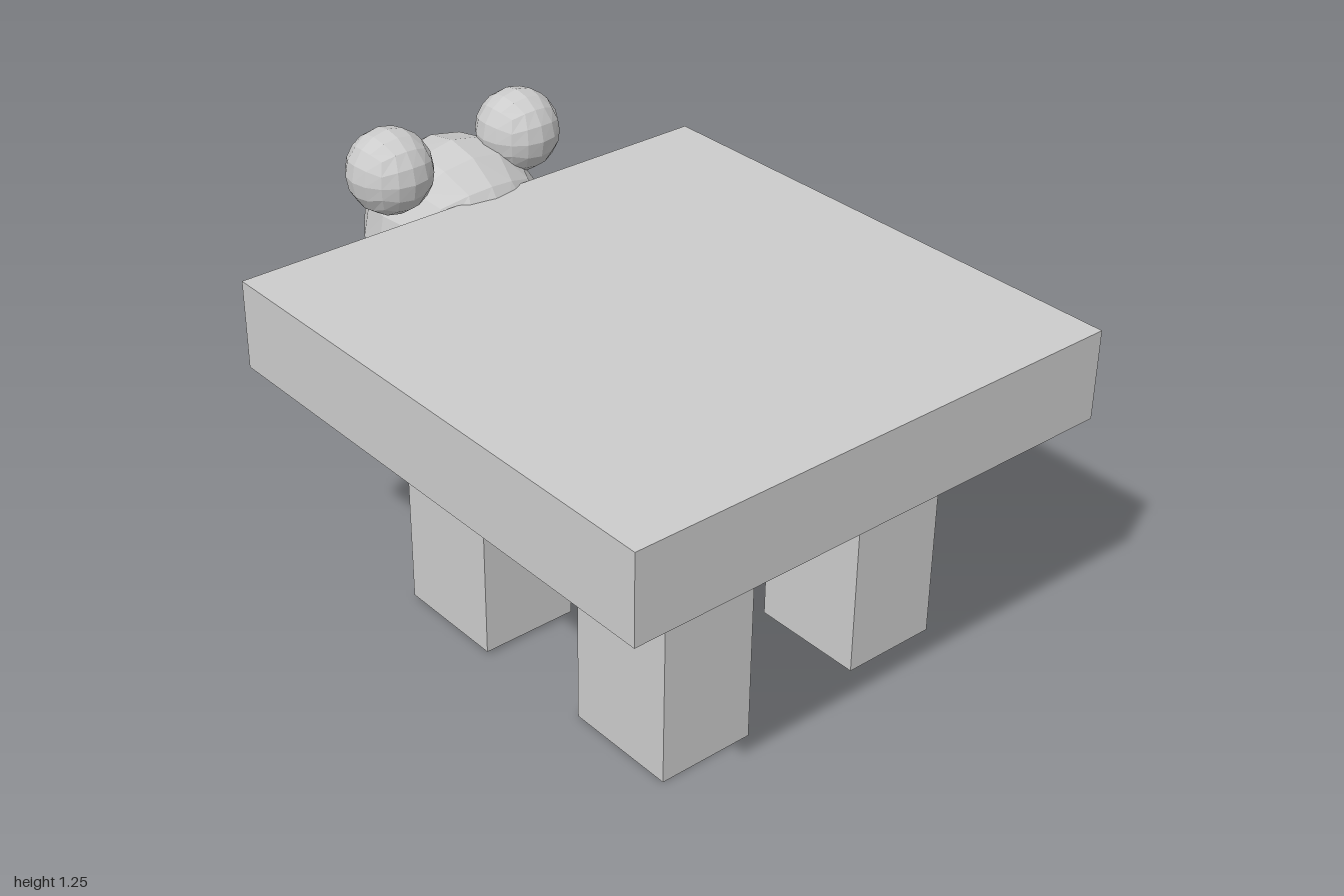
import * as THREE from 'three';

const material = new THREE.MeshStandardMaterial({ color: 0xcccccc, flatShading: true });

// Box given by its centre and size
function box(name, [x, y, z], size) {
  const mesh = new THREE.Mesh(new THREE.BoxGeometry(...size), material);
  mesh.name = name;
  mesh.position.set(x, y, z);
  return mesh;
}

// Faceted ball: a subdivided cube pushed out to a sphere with even angular steps
function ball(name, [x, y, z], radius) {
  const geometry = new THREE.BoxGeometry(2, 2, 2, 4, 4, 4);
  const pos = geometry.attributes.position;
  const v = new THREE.Vector3();
  const even = (t) => Math.tan((t * Math.PI) / 4);
  for (let i = 0; i < pos.count; i++) {
    v.fromBufferAttribute(pos, i);
    v.set(even(v.x), even(v.y), even(v.z)).setLength(radius);
    pos.setXYZ(i, v.x, v.y, v.z);
  }
  geometry.computeVertexNormals();
  const mesh = new THREE.Mesh(geometry, material);
  mesh.name = name;
  mesh.position.set(x, y, z);
  return mesh;
}

export function createModel() {
  const model = new THREE.Group();
  model.name = 'blockAnimal';

  // Flat slab body
  model.add(box('body', [0.215, 0.893, 0], [1.57, 0.255, 1.505]));

  // Four legs, set slightly unevenly: centre x, bottom y, centre z
  const legs = {
    frontLeftLeg: [0.53, 0, 0.257],
    frontRightLeg: [-0.17, 0.01, 0.283],
    backLeftLeg: [0.515, 0.012, -0.415],
    backRightLeg: [-0.155, 0.04, -0.44],
  };
  const legHeight = 0.75;
  for (const [name, [x, bottom, z]] of Object.entries(legs)) {
    model.add(box(name, [x, bottom + legHeight / 2, z], [0.34, legHeight, 0.29]));
  }

  // Head with two round ears
  model.add(ball('head', [-0.74, 0.865, -0.04], 0.26));
  model.add(ball('frontEar', [-0.69, 1.123, 0.203], 0.122));
  model.add(ball('backEar', [-0.697, 1.117, -0.237], 0.12));

  return model;
}
